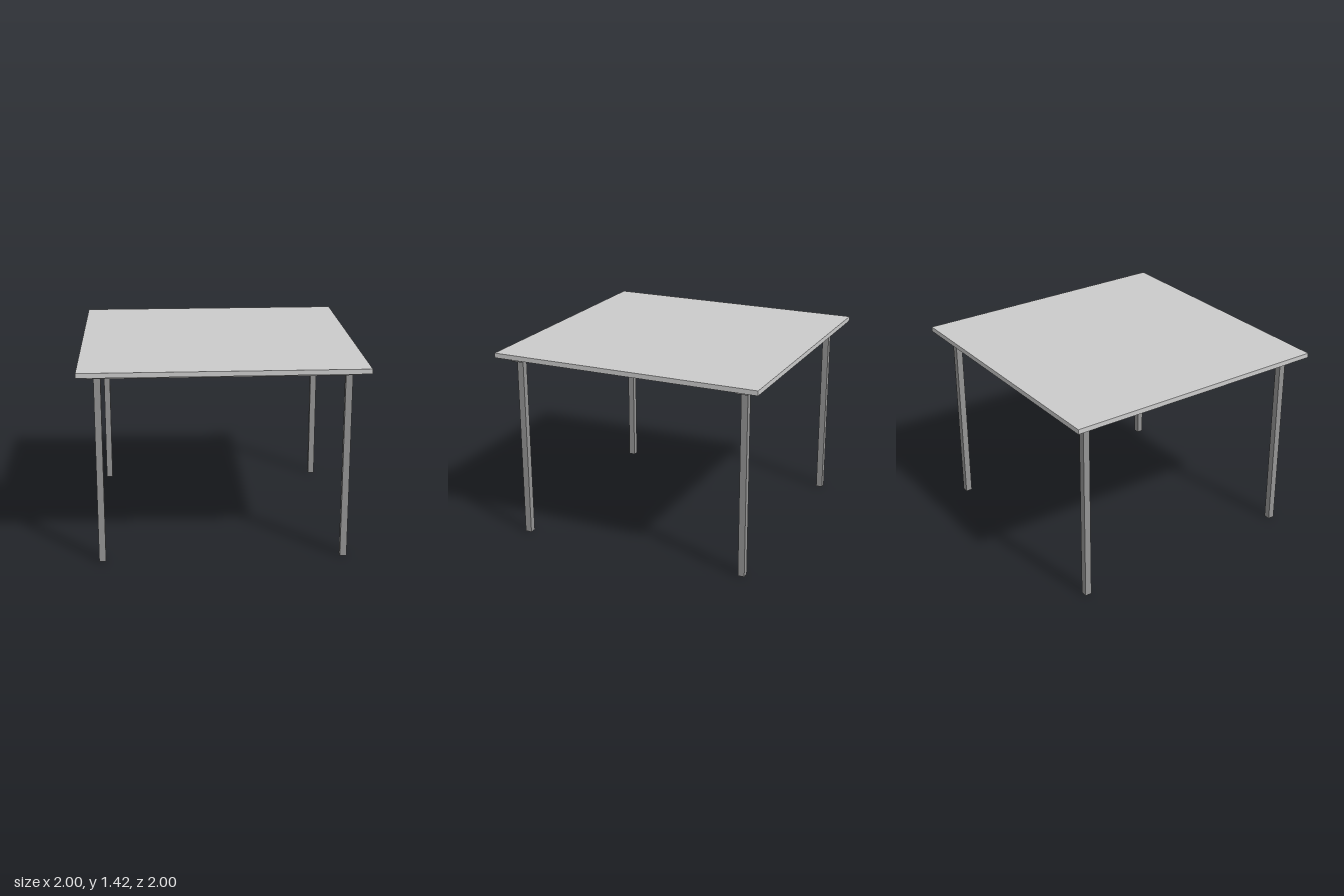
import * as THREE from 'three';

const TOP_Y = 1.42; // upper surface of the table top
const SLAB = 0.035; // table top thickness
const RAIL = 0.032; // rail thickness
const INSET = 0.863; // leg centre distance from the middle
const LEG = 0.048; // leg width

export function createModel() {
  const table = new THREE.Group();
  table.name = 'table';
  const light = new THREE.MeshStandardMaterial({ color: 0xcccccc });
  const dark = new THREE.MeshStandardMaterial({ color: 0x949494 });

  // Box placed by its underside
  function addBox(name, material, [w, h, d], [x, y, z]) {
    const mesh = new THREE.Mesh(new THREE.BoxGeometry(w, h, d), material);
    mesh.name = name;
    mesh.position.set(x, y + h / 2, z);
    table.add(mesh);
  }

  const slabY = TOP_Y - SLAB;
  const railY = slabY - RAIL;

  // Square top
  addBox('tableTop', light, [2, SLAB, 2], [0, slabY, 0]);

  for (const [end, z] of [['front', INSET], ['back', -INSET]]) {
    // Flat rail under the top, running left to right
    addBox(`${end}Rail`, dark, [1.866, RAIL, 0.085], [0, railY, z]);
    // Square legs standing under the rail
    for (const [side, x] of [['Left', INSET], ['Right', -INSET]]) {
      addBox(`${end}${side}Leg`, dark, [LEG, railY, LEG], [x, 0, z]);
    }
  }
  return table;
}
